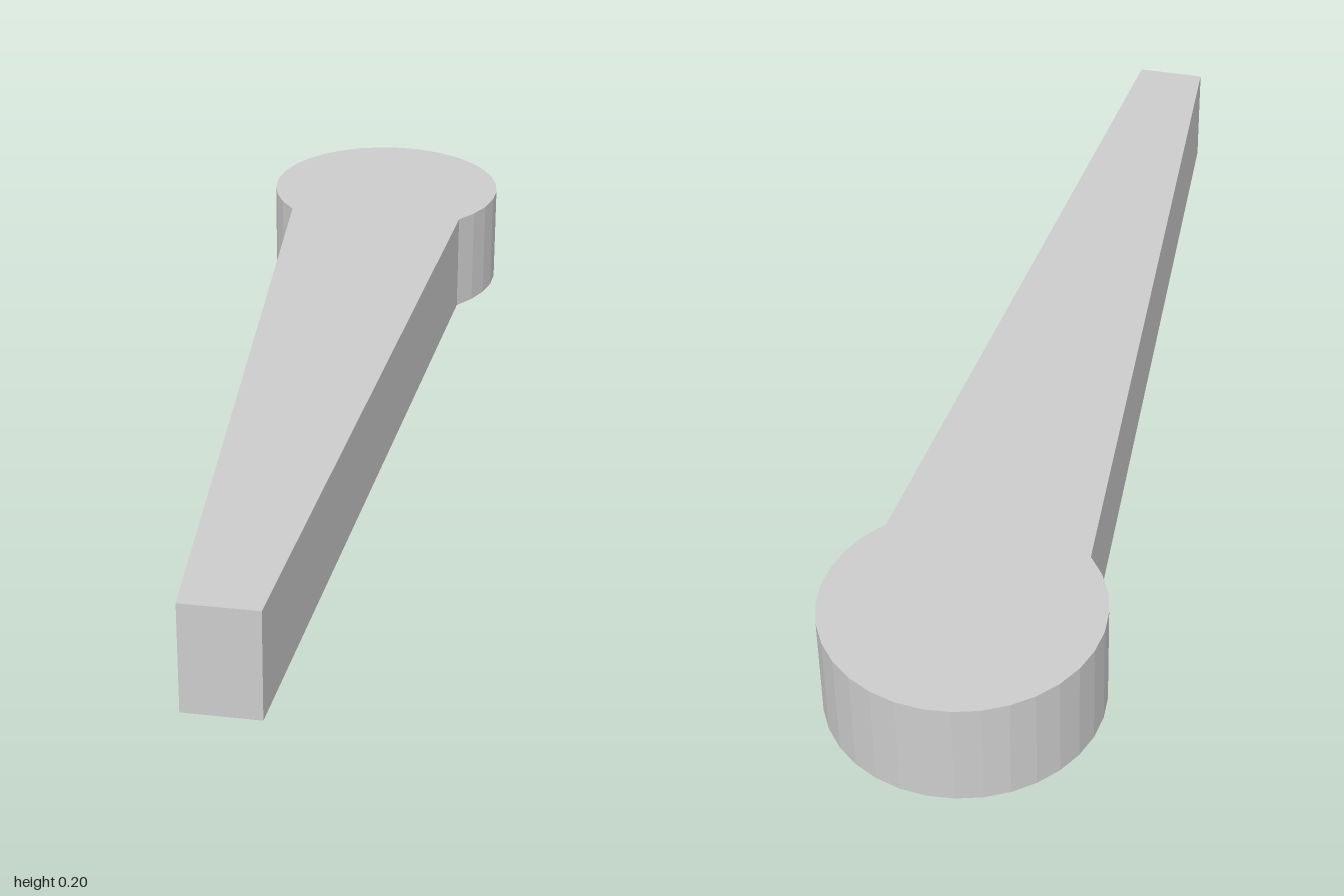
import * as THREE from 'three';

export function createModel() {
  const group = new THREE.Group();
  group.name = 'lever';

  const radius = 0.242;
  const hubCentre = 1 - radius;
  const tipHalfWidth = 0.067;
  const thickness = 0.2;
  const segments = 24;
  const startAngle = THREE.MathUtils.degToRad(-42);
  const sweep = Math.PI - 2 * startAngle;

  // Outline seen from above: narrow tip, tapered arm, round hub
  const outline = [
    new THREE.Vector2(-tipHalfWidth, -1),
    new THREE.Vector2(tipHalfWidth, -1),
  ];
  for (let i = 0; i <= segments; i++) {
    const a = startAngle + (sweep * i) / segments;
    outline.push(new THREE.Vector2(radius * Math.cos(a), hubCentre + radius * Math.sin(a)));
  }

  // Extrude upwards, with the hub at the back
  const geometry = new THREE.ExtrudeGeometry(new THREE.Shape(outline), {
    depth: thickness,
    bevelEnabled: false,
  });
  geometry.rotateX(-Math.PI / 2);

  const body = new THREE.Mesh(
    geometry,
    new THREE.MeshStandardMaterial({ color: 0xcccccc, flatShading: true })
  );
  body.name = 'taperedArmWithRoundHub';
  group.add(body);
  return group;
}
